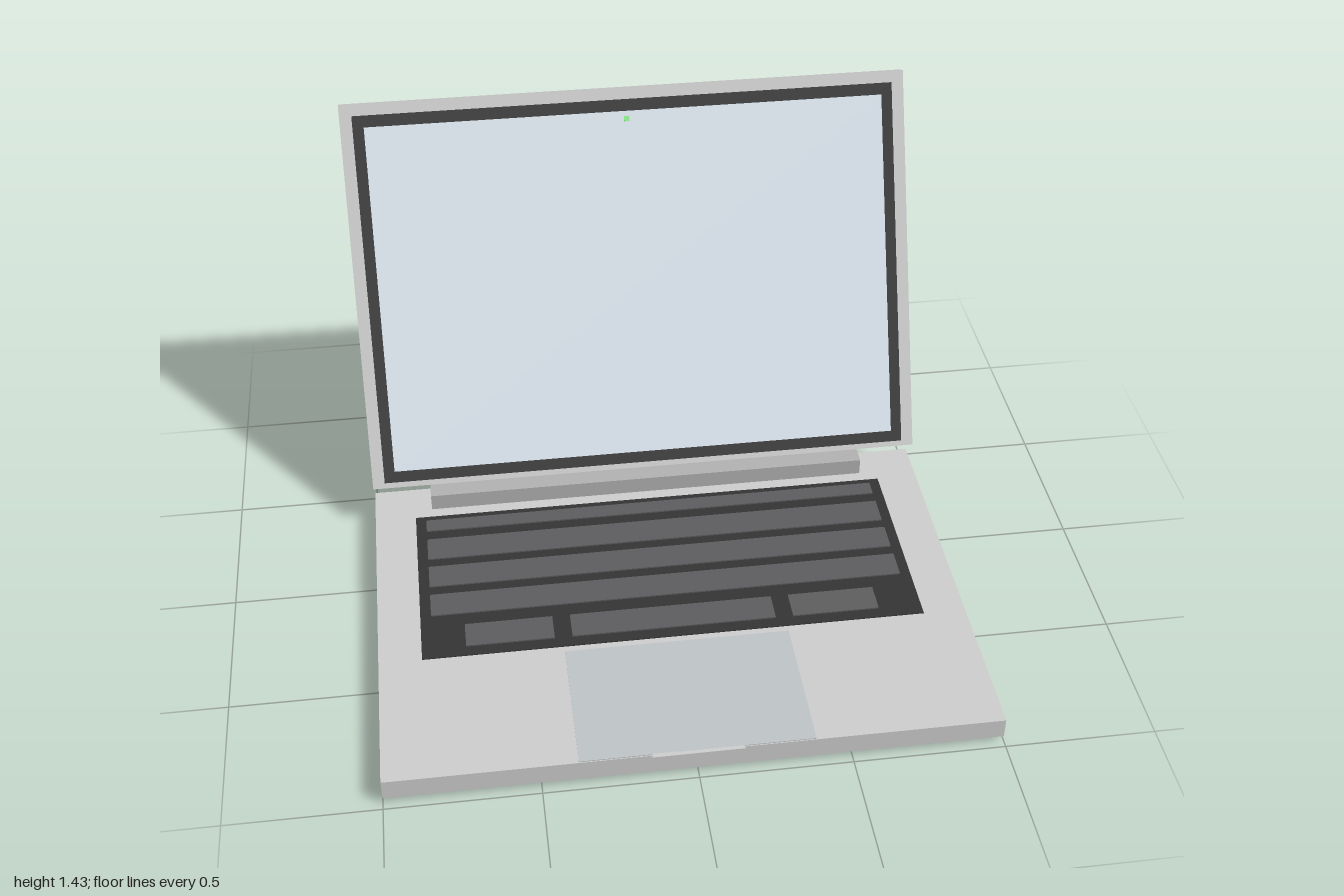
import * as THREE from 'three';

const mat = (color) => new THREE.MeshStandardMaterial({ color });
const M = {
  body: mat(0xcccccc), hinge: mat(0xb0b0b0), dark: mat(0x333333), key: mat(0x5c5c5e),
  black: mat(0x1c1c1c), pad: mat(0xbcc1c4), screen: mat(0xdbe5ee), badge: mat(0xbababa), light: mat(0x88ee88),
};

// Box given by its min/max extents on each axis
function box(parent, name, material, [x0, x1], [y0, y1], [z0, z1]) {
  const mesh = new THREE.Mesh(new THREE.BoxGeometry(x1 - x0, y1 - y0, z1 - z0), material);
  mesh.position.set((x0 + x1) / 2, (y0 + y1) / 2, (z0 + z1) / 2);
  mesh.name = name;
  parent.add(mesh);
  return mesh;
}

export function createModel() {
  const model = new THREE.Group();
  model.name = 'laptop';

  // Lower half
  const base = new THREE.Group();
  base.name = 'base';
  model.add(base);
  const top = 0.09;
  box(base, 'baseShell', M.body, [-1, 1], [0.016, top], [-0.425, 0.97]);
  box(base, 'hingeBar', M.hinge, [-0.795, 0.795], [0.085, 0.152], [-0.4, -0.307]);
  box(base, 'trackpad', M.pad, [-0.38, 0.38], [0.08, top + 0.003], [0.48, 0.967]);
  box(base, 'openingLip', M.body, [-0.148, 0.148], [0.081, top + 0.003], [0.965, 0.98]);

  // Keyboard: a dark deck, four long rows and a split bottom row
  box(base, 'keyboardDeck', M.dark, [-0.855, 0.855], [0.08, top + 0.003], [-0.263, 0.455]);
  const keyTop = [0.085, top + 0.008];
  for (const z of [[-0.238, -0.18], [-0.135, -0.03], [0.01, 0.112], [0.153, 0.256]])
    box(base, 'keyRow', M.key, [-0.818, 0.818], keyTop, z);
  for (const x of [[-0.706, -0.408], [-0.348, 0.348], [0.408, 0.706]])
    box(base, 'bottomKey', M.key, x, keyTop, [0.312, 0.415]);

  // Side ports
  for (const z of [[-0.175, -0.117], [-0.037, 0.02]])
    box(base, 'leftPort', M.black, [0.98, 1.002], [0.044, 0.064], z);
  box(base, 'rightPort', M.black, [-1.002, -0.98], [0.042, 0.066], [-0.255, -0.18]);
  box(base, 'rightJack', M.black, [-1.002, -0.98], [0.044, 0.064], [-0.025, 0.01]);

  // Feet
  for (const x of [-0.797, 0.797])
    for (const z of [-0.286, 0.83])
      box(base, 'foot', M.black, [x - 0.052, x + 0.052], [0, 0.02], [z - 0.05, z + 0.05]);

  // Lid, built upright about the centre of its front face, then leaned back
  const lid = new THREE.Group();
  lid.name = 'lid';
  lid.position.set(0, 0.802, -0.636);
  lid.rotation.x = -THREE.MathUtils.degToRad(25.2);
  model.add(lid);
  box(lid, 'lidShell', M.body, [-1, 1], [-0.69, 0.69], [-0.055, 0]);
  box(lid, 'bezel', M.dark, [-0.957, 0.957], [-0.67, 0.65], [-0.01, 0.003]);
  box(lid, 'screen', M.screen, [-0.918, 0.918], [-0.629, 0.609], [-0.005, 0.006]);
  box(lid, 'cameraLight', M.light, [-0.009, 0.009], [0.573, 0.591], [0, 0.009]);
  box(lid, 'backPlate', M.badge, [-0.115, 0.115], [-0.115, 0.115], [-0.059, -0.05]);

  return model;
}
